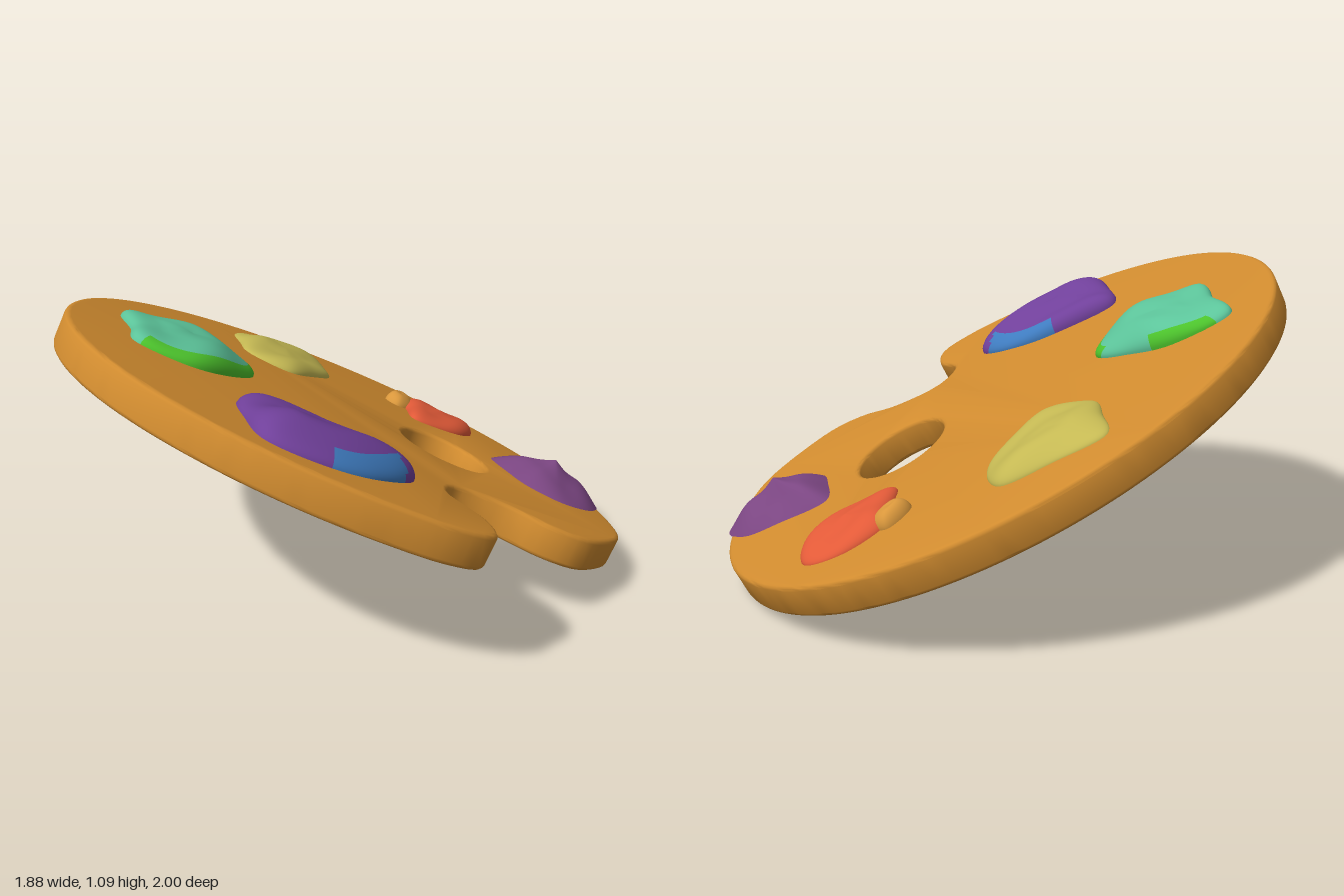
import * as THREE from 'three';
import { toCreasedNormals } from 'three/addons/utils/BufferGeometryUtils.js';

const mat = (name, color) => {
  const m = new THREE.MeshStandardMaterial({ color });
  m.name = name;
  return m;
};

// Tilted board plane: y = BASE + SX * x + SZ * z on the underside
const BASE = 0.465, SX = -0.27, SZ = 0.43, THICK = 0.12;
const normal = new THREE.Vector3(-SX, 1, -SZ).normalize();
const tilt = new THREE.Matrix4()
  .makeBasis(new THREE.Vector3(1, SX, 0), new THREE.Vector3(0, -SZ, -1), normal)
  .setPosition(0, BASE, 0);

// Top-face x, z to the board's own flat coordinates
const flat = ([x, z]) => new THREE.Vector2(x - normal.x * THICK, -(z - normal.z * THICK));

// Smooth closed outline, counter-clockwise
function outline(points, count) {
  const curve = new THREE.CatmullRomCurve3(
    points.map(p => { const f = flat(p); return new THREE.Vector3(f.x, f.y, 0); }), true, 'centripetal');
  const pts = curve.getSpacedPoints(count).slice(0, count).map(p => new THREE.Vector2(p.x, p.y));
  return THREE.ShapeUtils.isClockWise(pts) ? pts.reverse() : pts;
}

function makeBoard(material) {
  // Long oval arc, a little wider on the right, closed by the notch
  const rim = [];
  for (let i = 0; i <= 28; i++) {
    const a = THREE.MathUtils.lerp(0.68, Math.PI * 2 - 0.42, i / 28);
    rim.push([0.01 + Math.cos(a) * (Math.cos(a) > 0 ? 1 : 0.93), -0.02 + Math.sin(a) * 0.98]);
  }
  rim.push([0.94, -0.24], [0.91, -0.09], [0.82, -0.01], [0.66, 0.04],
    [0.54, 0.16], [0.58, 0.29], [0.74, 0.35], [0.835, 0.46]);
  const shape = new THREE.Shape(outline(rim, 160));

  // Thumb hole: an oval turned by 45 degrees
  const hole = [];
  for (let i = 0; i < 16; i++) {
    const a = i / 16 * Math.PI * 2, p = Math.cos(a) * 0.19, q = Math.sin(a) * 0.155;
    hole.push([0.268 + (p - q) * Math.SQRT1_2, -0.272 + (p + q) * Math.SQRT1_2]);
  }
  shape.holes.push(new THREE.Path(outline(hole, 56).reverse()));

  const bevel = 0.015;
  const geo = new THREE.ExtrudeGeometry(shape, {
    depth: THICK - 2 * bevel, bevelThickness: bevel, bevelSize: bevel, bevelOffset: -bevel, bevelSegments: 3,
  });
  geo.translate(0, 0, bevel);
  geo.applyMatrix4(tilt);
  const mesh = new THREE.Mesh(toCreasedNormals(geo, 0.6), material);
  mesh.name = 'board';
  return mesh;
}

// Dollop of paint: a rippled dome whose outline is given by radii at even angles from its peak.
// second(x, z, r, dx, dz) picks the faces painted in the second colour.
function makePaint({ name, peak, radii, height, power = 0.55, ripple, mats, second = () => false }) {
  const N = 80, R = 18;
  const rim = outline(radii.map((d, i) => {
    const a = i / radii.length * Math.PI * 2;
    return [peak[0] + Math.cos(a) * d, peak[1] + Math.sin(a) * d];
  }), N);
  const c = flat(peak), pos = [], info = [], lists = [[], []];
  for (let j = 0; j <= R; j++) {
    const r = Math.sin(j / R * Math.PI / 2);
    for (let i = 0; i < N; i++) {
      const p = c.clone().lerp(rim[i], r), d = rim[i].clone().sub(c).normalize();
      const wave = 1 + 0.22 * Math.sin(ripple[0] * p.x + ripple[1] * p.y) * Math.min(1, r * 2);
      pos.push(p.x, p.y, THICK - 0.002 + height * Math.pow(Math.max(0, 1 - Math.pow(r, 2 / power - 1)), power) * wave);
      info.push([p.x + normal.x * THICK, -p.y + normal.z * THICK, r, d.x, -d.y]);
    }
  }
  for (let j = 0; j < R; j++) for (let i = 0; i < N; i++) {
    const k = (i + 1) % N, a = j * N + i, b = j * N + k, d = a + N, e = b + N;
    const list = lists[second(...info[d]) ? 1 : 0];
    if (j > 0) list.push(a, d, b);
    list.push(b, d, e);
  }
  const geo = new THREE.BufferGeometry();
  geo.setAttribute('position', new THREE.Float32BufferAttribute(pos, 3));
  geo.setIndex(lists.flat());
  geo.addGroup(0, lists[0].length, 0);
  if (lists[1].length) geo.addGroup(lists[0].length, lists[1].length, 1);
  geo.applyMatrix4(tilt);
  geo.computeVertexNormals();
  const mesh = new THREE.Mesh(geo, mats);
  mesh.name = name;
  return mesh;
}

export function createModel() {
  const group = new THREE.Group();
  group.name = 'paintPalette';
  const wood = mat('wood', 0xd08b2f), red = mat('red', 0xe25a38), orange = mat('orange', 0xd9973c);
  const plum = mat('plum', 0x7b4682), yellow = mat('yellow', 0xc4b853), mint = mat('mint', 0x5cc49a);
  const green = mat('green', 0x4cc22c), violet = mat('violet', 0x70409a), blue = mat('blue', 0x3f7cc0);

  group.add(makeBoard(wood));

  group.add(makePaint({
    name: 'redPaint', peak: [0, -0.71], height: 0.05, ripple: [22, 8], mats: [red],
    radii: [0.13, 0.135, 0.19, 0.13, 0.17, 0.18, 0.19, 0.155],
  }));
  group.add(makePaint({
    name: 'orangeSmear', peak: [-0.16, -0.66], height: 0.045, ripple: [20, 0], mats: [orange],
    radii: [0.06, 0.065, 0.055, 0.05, 0.075, 0.07],
  }));
  group.add(makePaint({
    name: 'plumPaint', peak: [0.55, -0.58], height: 0.115, power: 0.95, ripple: [14, 18], mats: [plum],
    radii: [0.2, 0.19, 0.16, 0.15, 0.23, 0.16, 0.19, 0.225],
  }));
  group.add(makePaint({
    name: 'yellowPaint', peak: [-0.5, -0.3], height: 0.05, ripple: [26, -8], mats: [yellow],
    radii: [0.17, 0.22, 0.2, 0.16, 0.22, 0.17, 0.23, 0.2],
  }));
  // Mint dollop with bright green showing on its right side and far left corner
  group.add(makePaint({
    name: 'mintPaint', peak: [-0.42, 0.36], height: 0.065, power: 0.45, ripple: [12, 16], mats: [mint, green],
    radii: [0.21, 0.235, 0.24, 0.18, 0.28, 0.22, 0.18, 0.23],
    second: (x, z, r, dx, dz) => r > 0.9 && (dx * 0.95 + dz * 0.3 > 0.35 || (dx < -0.4 && dz < -0.2)),
  }));
  // Violet dollop with a blue flank and a violet tip
  group.add(makePaint({
    name: 'violetPaint', peak: [0.27, 0.6], height: 0.08, power: 0.5, ripple: [16, -14], mats: [violet, blue],
    radii: [0.23, 0.21, 0.23, 0.2, 0.27, 0.2, 0.22, 0.32],
    second: (x, z, r, dx, dz) => r > 0.8 && dx * 0.77 - dz * 0.64 > 0.15 && !(x > 0.45 && z < 0.47),
  }));
  return group;
}
